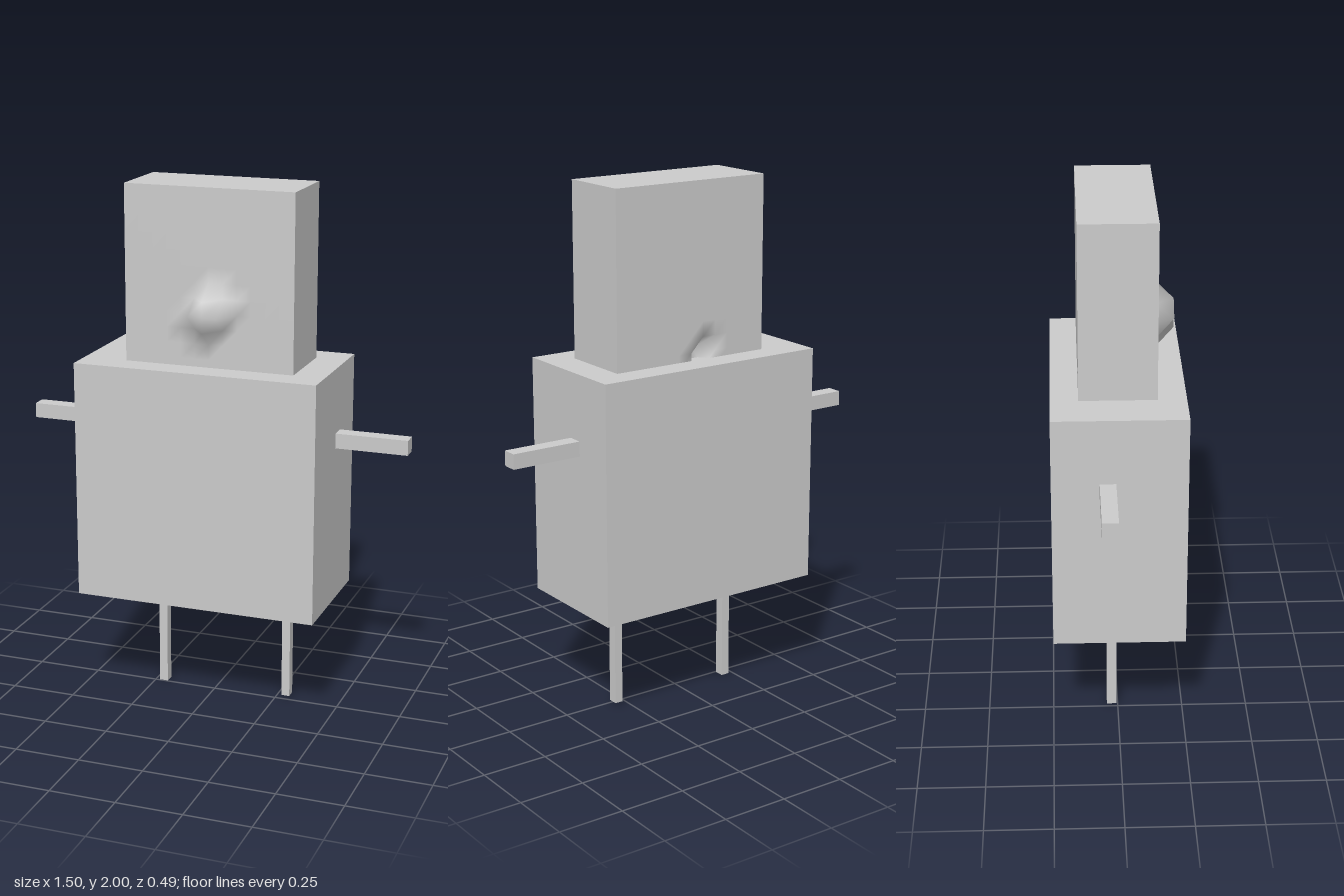
import * as THREE from 'three';

const material = new THREE.MeshStandardMaterial({ color: 0xcccccc });

// Box given by its [min, max] range on each axis
function block(name, [x0, x1], [y0, y1], [z0, z1], segments = 1) {
  const geometry = new THREE.BoxGeometry(x1 - x0, y1 - y0, z1 - z0, segments, segments, 1);
  geometry.translate((x0 + x1) / 2, (y0 + y1) / 2, (z0 + z1) / 2);
  const mesh = new THREE.Mesh(geometry, material);
  mesh.name = name;
  return mesh;
}

// Head: a gridded box with a sculpted nose in front and a small dent behind
function createHead() {
  const x = [-0.298, 0.352], y = [1.31, 2], z = [-0.143, 0.14], n = 12;
  const head = block('head', x, y, z, n);
  const p = head.geometry.attributes.position;
  for (let i = 0; i < p.count; i++) {
    const col = Math.round(((p.getX(i) - x[0]) / (x[1] - x[0])) * n);
    const row = Math.round(((p.getY(i) - y[0]) / (y[1] - y[0])) * n);
    const front = p.getZ(i) > 0;
    // Nose: the grid point and its four neighbours pulled outward
    if (front && Math.abs(col - 6) + Math.abs(row - 4) <= 1) p.setZ(i, z[1] + 0.073);
    // Dent: one grid point pushed inward just above the shoulders
    if (!front && col === 5 && row === 1) p.setZ(i, z[0] + 0.07);
  }
  head.geometry.computeVertexNormals();
  return head;
}

export function createModel() {
  const model = new THREE.Group();
  model.name = 'blockFigure';

  model.add(block('body', [-0.465, 0.47], [0.43, 1.34], [-0.245, 0.245]));
  model.add(createHead());

  // Arms
  const armY = [1.035, 1.092], armZ = [-0.072, -0.013];
  model.add(block('rightArm', [-0.75, -0.44], armY, armZ));
  model.add(block('leftArm', [0.44, 0.745], armY, armZ));

  // Legs, slightly uneven
  const legZ = [-0.042, -0.004];
  model.add(block('rightLeg', [-0.233, -0.2], [0, 0.45], legZ));
  model.add(block('leftLeg', [0.275, 0.307], [0.013, 0.45], legZ));

  return model;
}
